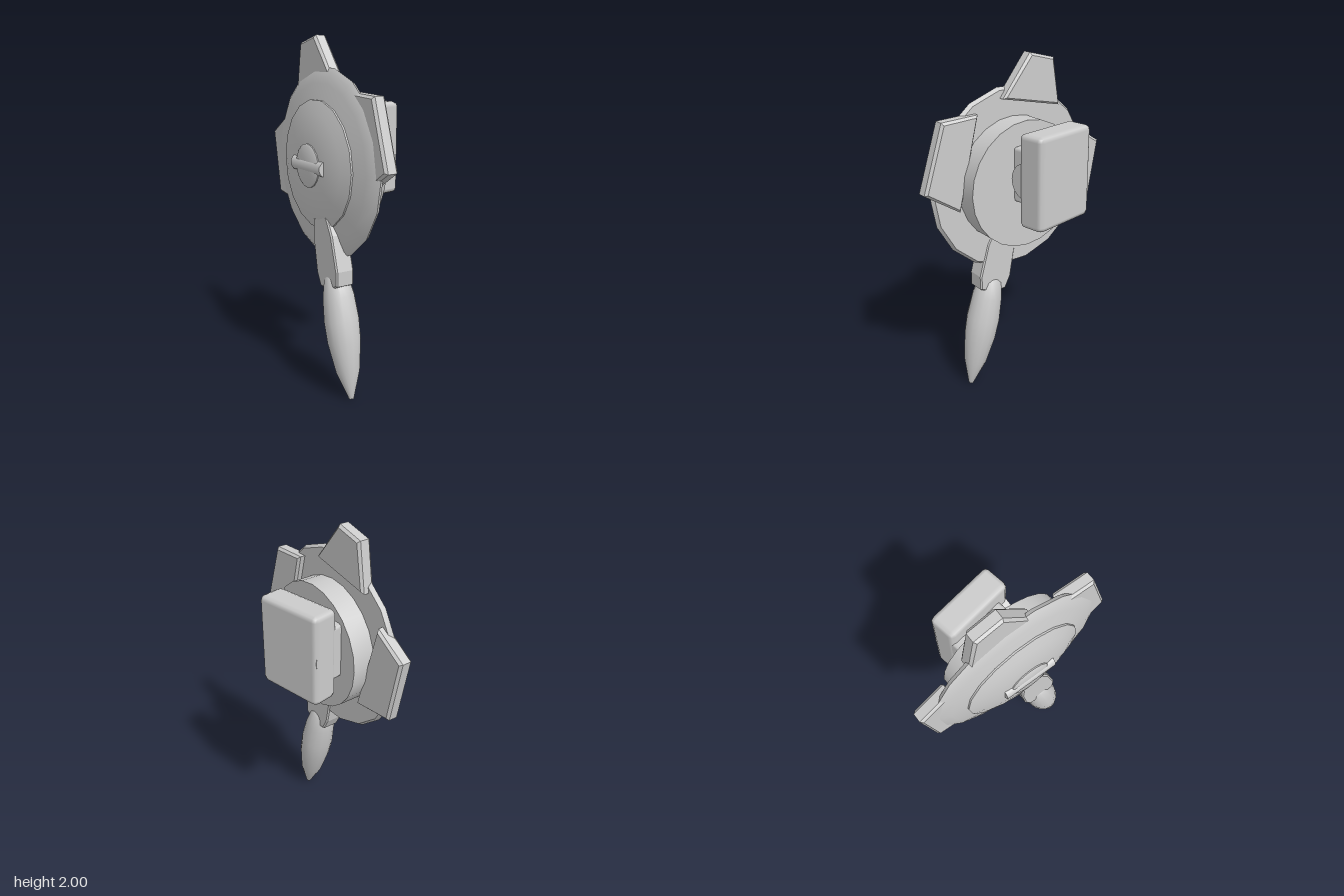
import * as THREE from 'three';
import { toCreasedNormals } from 'three/addons/utils/BufferGeometryUtils.js';
import { RoundedBoxGeometry } from 'three/addons/geometries/RoundedBoxGeometry.js';

const V = (x, y) => new THREE.Vector2(x, y);

export function createModel() {
  const root = new THREE.Group();
  root.name = 'bladedHub';
  const grey = new THREE.MeshStandardMaterial({ color: 0xcccccc });
  grey.name = 'plain grey';

  const add = (parent, name, geometry, x = 0, y = 0, z = 0) => {
    const mesh = new THREE.Mesh(geometry, grey);
    mesh.name = name;
    mesh.position.set(x, y, z);
    parent.add(mesh);
    return mesh;
  };

  // Flat plate outlined in (z, y), spanning u0..u1 along x, with bevelled edges
  const plate = (outline, u0, u1, bevel) => {
    const shape = new THREE.Shape(outline.map(([a, b]) => V(a, b)));
    const geo = new THREE.ExtrudeGeometry(shape, {
      depth: u1 - u0 - 2 * bevel, bevelEnabled: true, bevelSegments: 1,
      bevelThickness: bevel, bevelSize: bevel, bevelOffset: -bevel,
    });
    return geo.rotateY(-Math.PI / 2).translate(u1 - bevel, 0, 0);
  };

  // Solid turned round the x axis; profile points are [radius, x]
  const turned = (profile, sides) => toCreasedNormals(
    new THREE.LatheGeometry(profile.map(([r, u]) => V(r, u)), sides).rotateZ(-Math.PI / 2), 0.6);

  // Tilted wheel assembly
  const wheel = new THREE.Group();
  wheel.name = 'wheel';
  wheel.position.set(-0.005, 1.3, 0.03);
  wheel.rotation.y = -Math.PI / 18;
  root.add(wheel);

  add(wheel, 'domedDisc', turned([
    [0, -0.23], [0.12, -0.229], [0.2, -0.221], [0.29, -0.202], [0.36, -0.178],
    [0.36, -0.168], [0.45, -0.148], [0.51, -0.131], [0.535, -0.115], [0.52, -0.092], [0, -0.09],
  ], 18));
  add(wheel, 'drum', turned([[0, -0.11], [0.365, -0.11], [0.365, 0.04], [0, 0.04]], 24));

  // Boss and cross bar in the middle of the dome
  add(wheel, 'centreBoss', turned([[0, -0.242], [0.11, -0.242], [0.122, -0.235], [0.122, -0.2], [0, -0.2]], 20));
  const bar = new THREE.CylinderGeometry(0.045, 0.045, 0.32, 10).rotateX(Math.PI / 2);
  add(wheel, 'crossBar', bar, -0.208);

  // Three fins round the rim
  const fins = {
    frontFin: [[0.595, 0.03], [0.473, 0.4], [0.25, 0.41], [0.38, -0.11]],
    topFin: [[-0.095, 0.7], [-0.258, 0.66], [-0.3, 0.39], [0.087, 0.47]],
    backFin: [[-0.42, 0.25], [-0.613, 0.13], [-0.542, -0.25], [-0.278, -0.28]],
  };
  for (const [name, outline] of Object.entries(fins)) {
    add(wheel, name, plate(outline, -0.13, -0.05, 0.014));
  }

  // Bracket and spindle-shaped grip on the leaning lower spoke
  const spoke = new THREE.Group();
  spoke.name = 'lowerSpoke';
  spoke.rotation.x = -0.234;
  wheel.add(spoke);
  add(spoke, 'gripBracket', plate([
    [-0.07, -0.29], [0.07, -0.29], [0.1, -0.4], [0.11, -0.6], [0.09, -0.68],
    [0.05, -0.69], [0, -0.66], [-0.05, -0.69], [-0.09, -0.68], [-0.11, -0.6], [-0.1, -0.4],
  ], -0.197, -0.085, 0.008));
  const grip = [[0, -1.333], [0.014, -1.33], [0.068, -1.17], [0.095, -1], [0.1, -0.88],
    [0.09, -0.74], [0.07, -0.64], [0.04, -0.6], [0, -0.59]];
  add(spoke, 'grip', new THREE.LatheGeometry(grip.map(([r, y]) => V(r, y)), 16), -0.138);

  // Upright housing with its neck and pivot
  add(root, 'housing', new RoundedBoxGeometry(0.16, 0.525, 0.41, 1, 0.03), 0.195, 1.375, -0.01);
  add(root, 'neck', new RoundedBoxGeometry(0.18, 0.315, 0.34, 1, 0.02), 0.1, 1.375, -0.04);
  const pivot = new THREE.CylinderGeometry(0.105, 0.105, 0.395, 20).rotateX(Math.PI / 2);
  add(root, 'pivot', pivot, 0.16, 1.375, -0.0125);

  return root;
}
